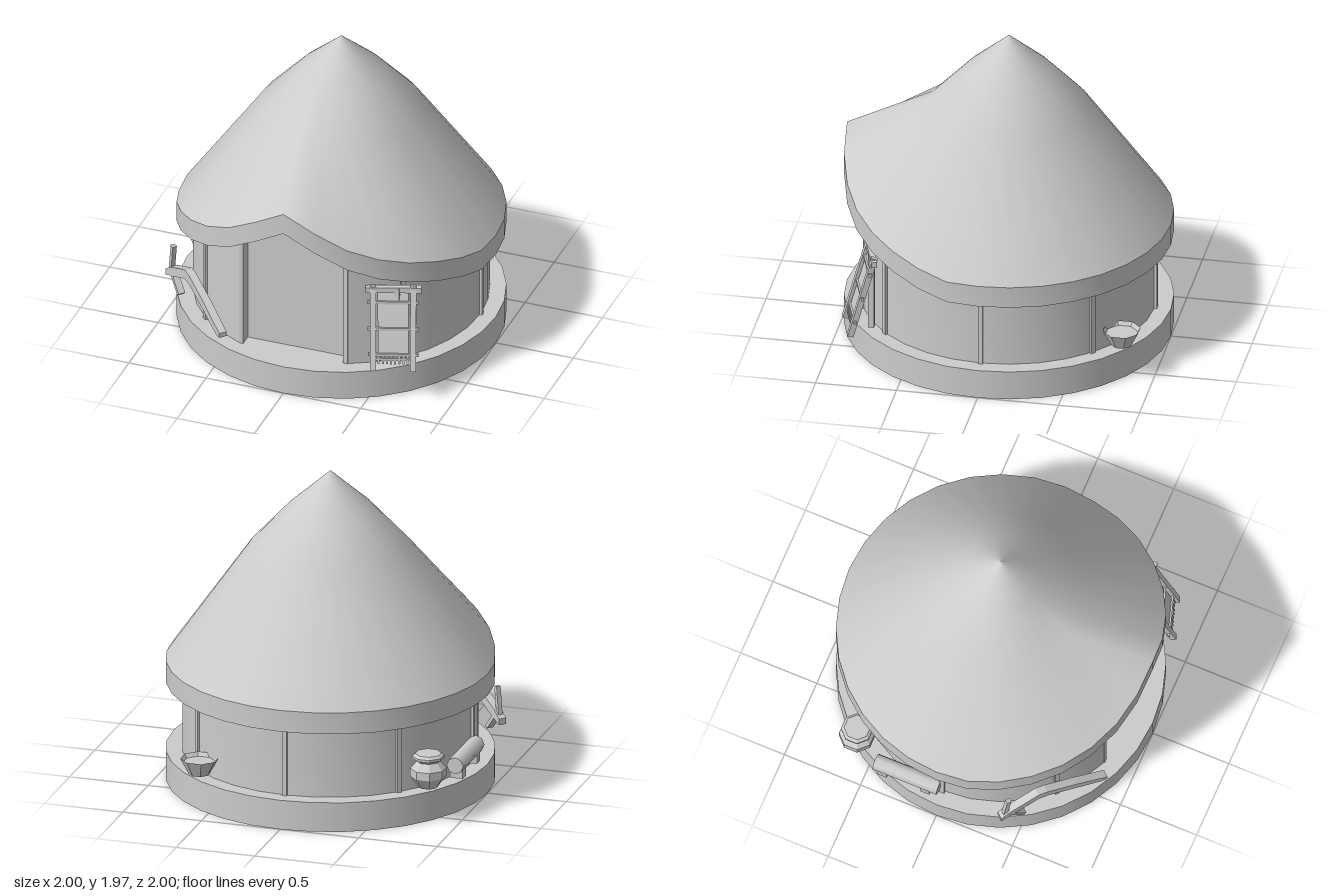
import * as THREE from 'three';

const clay = new THREE.MeshStandardMaterial({ color: 0xcccccc, side: THREE.DoubleSide });
clay.name = 'pale grey';
const N = 32, FLOOR = 0.187;
// eave height and wall height, stepping from the front peak round to the side
const EAVE = [1.27, 1.16, 1.05, 0.97, 0.91, 0.86, 0.81, 0.766];
const WALL = [1.06, 1.06, 0.96, 0.88, 0.78, 0.7, 0.645, 0.62];
const atStep = (list, k) => list[Math.min(k, N - k, 7)];

function add(parent, name, geometry) {
  const m = new THREE.Mesh(geometry, clay);
  m.name = name;
  parent.add(m);
  return m;
}

// surface through rings of equal point count
function loft(rings, closed) {
  const n = rings[0].length, index = [];
  for (let i = 0; i < rings.length - 1; i++) {
    for (let j = 0; j < (closed ? n : n - 1); j++) {
      const k = (j + 1) % n;
      const a = i * n + j, b = a + n, c = (i + 1) * n + k, d = i * n + k;
      index.push(a, b, c, a, c, d);
    }
  }
  const g = new THREE.BufferGeometry().setFromPoints(rings.flat());
  g.setIndex(index);
  g.computeVertexNormals();
  return g;
}

// ring around the y axis, step 0 at the front
function ring(r, height, from = 0, to = N - 1) {
  const pts = [];
  for (let k = from; k <= to; k++) {
    const a = (k / N) * Math.PI * 2;
    pts.push(new THREE.Vector3(r * Math.sin(a), height(k), r * Math.cos(a)));
  }
  return pts;
}

// rectangular bar between two points, in the parent's own frame
function bar(parent, name, p, q, w, d = w) {
  const a = new THREE.Vector3(...p), b = new THREE.Vector3(...q);
  const m = add(parent, name, new THREE.BoxGeometry(w, d, a.distanceTo(b)));
  m.position.copy(a).lerp(b, 0.5);
  m.quaternion.setFromRotationMatrix(new THREE.Matrix4().lookAt(b, a, m.up));
}

// faceted vessel from a profile
function vessel(parent, name, profile, x, y, z) {
  const g = new THREE.LatheGeometry(profile.map(p => new THREE.Vector2(...p)), 8, Math.PI / 8).toNonIndexed();
  g.computeVertexNormals();
  add(parent, name, g).position.set(x, y, z);
}

function extrude(points, depth) {
  const s = new THREE.Shape(points.map(p => new THREE.Vector2(...p)));
  return new THREE.ExtrudeGeometry(s, { depth, bevelEnabled: false });
}

export function createModel() {
  const hut = new THREE.Group();
  hut.name = 'roundHut';

  // plinth, hollow underneath
  add(hut, 'plinthSide', new THREE.CylinderGeometry(1, 1, FLOOR, N, 1, true)).position.y = FLOOR / 2;
  const floor = add(hut, 'plinthTop', new THREE.CircleGeometry(1, N));
  floor.rotation.x = -Math.PI / 2;
  floor.position.y = FLOOR;

  // curved wall and recessed flat front panel
  add(hut, 'wall', loft([
    ring(0.9, k => atStep(WALL, k), 2, 30), ring(0.9, () => FLOOR, 2, 30)], false));
  add(hut, 'frontPanel', extrude([[-0.34, FLOOR], [0.34, FLOOR], [0.34, 0.96],
    [0.2, 1.06], [-0.2, 1.06], [-0.34, 0.96]], 0.01)).position.z = 0.74;

  // square posts beside the panel
  for (const s of [-1, 1]) {
    add(hut, 'doorPost', new THREE.BoxGeometry(0.028, 0.775, 0.09)).position.set(s * 0.338, 0.575, 0.787);
  }

  // wall posts
  for (const k of [4, 8, 12, 16, 20, 24, 28]) {
    const a = (k / N) * Math.PI * 2, h = atStep(WALL, k) - FLOOR;
    const p = add(hut, 'wallPost', new THREE.BoxGeometry(0.03, h, 0.03));
    p.position.set(0.9 * Math.sin(a), FLOOR + h / 2, 0.9 * Math.cos(a));
    p.rotation.y = a;
  }

  // thatched roof shell with a hanging rim
  const roof = new THREE.Group();
  roof.name = 'roof';
  hut.add(roof);
  const eave = k => atStep(EAVE, k);
  add(roof, 'roofTop', loft([ring(0, () => 1.97), ring(0.25, () => 1.75),
    ring(0.495, () => 1.485), ring(1, eave)], true));
  add(roof, 'roofRim', loft([ring(1, eave), ring(1, k => eave(k) - 0.137)], true));

  // loom leaning by the front wall
  const loom = new THREE.Group();
  loom.name = 'loom';
  hut.add(loom);
  const lowL = [0.545, 0.225, 0.905], topL = [0.49, 0.74, 0.765];
  const lowR = [0.775, 0.225, 0.83], topR = [0.725, 0.745, 0.69];
  // point on the frame: u across from rail to rail, v up the rails
  const on = (u, v) => [0, 1, 2].map(i => {
    const l = lowL[i] + (topL[i] - lowL[i]) * v, r = lowR[i] + (topR[i] - lowR[i]) * v;
    return l + (r - l) * u;
  });
  bar(loom, 'loomRail', lowL, topL, 0.036);
  bar(loom, 'loomRail', lowR, topR, 0.036);
  bar(loom, 'loomTopBeam', on(-0.18, 0.955), on(1.2, 0.955), 0.036);
  for (const v of [0.8, 0.49, 0.19]) bar(loom, 'loomRung', on(-0.13, v), on(1.13, v), 0.018);
  const c = [[0.12, 0.94], [0.12, 0.2], [0.88, 0.2], [0.88, 0.94]]
    .map(p => new THREE.Vector3(...on(...p)));
  add(loom, 'loomCloth', loft([[c[0], c[3]], [c[1], c[2]]], false));
  bar(loom, 'loomLowerBeam', on(0, 0.14), on(1, 0.14), 0.016);
  for (let i = 0; i < 8; i++) {
    const u = 0.14 + i * 0.103;
    bar(loom, 'loomFringe', on(u, 0.08), on(u, 0.17), 0.012);
  }
  bar(loom, 'loomProp', [0.635, 0.225, 0.725], [0.635, 0.73, 0.725], 0.035);

  // bent wooden plough against the other side
  const plough = new THREE.Group();
  plough.name = 'plough';
  plough.position.set(-0.965, 0, 0.4);
  plough.rotation.y = -0.735;
  hut.add(plough);
  add(plough, 'ploughBeam', extrude([
    [0, 0.3], [0.1, 0.34], [0.25, 0.405], [0.32, 0.395], [0.67, 0.235], [0.71, 0.235],
    [0.71, 0.265], [0.5, 0.375], [0.31, 0.46], [0.25, 0.47], [0.06, 0.385], [0, 0.34]], 0.05))
    .position.z = -0.025;
  bar(plough, 'ploughHandle', [0.035, 0.35, 0], [0.06, 0.53, 0], 0.028);
  bar(plough, 'ploughShare', [0.05, 0.36, 0], [0.16, 0.24, 0], 0.045, 0.025);

  // water jar and bowl behind the hut
  vessel(hut, 'jar', [[0, 0], [0.06, 0], [0.11, 0.07], [0.11, 0.12], [0.07, 0.165],
    [0.098, 0.185], [0.098, 0.2], [0.08, 0.215], [0, 0.215]], -0.815, 0.23, -0.6);
  vessel(hut, 'bowl', [[0, 0], [0.065, 0], [0.117, 0.1], [0.1, 0.075], [0, 0.075]],
    0.575, 0.23, -0.807);

  // log bench on two feet
  const log = add(hut, 'benchLog', new THREE.CylinderGeometry(0.053, 0.053, 0.42, 8));
  log.rotation.x = Math.PI / 2;
  log.position.set(-0.93, 0.315, -0.22);
  for (const z of [-0.37, -0.09]) {
    add(hut, 'benchFoot', new THREE.BoxGeometry(0.08, 0.08, 0.06)).position.set(-0.93, 0.265, z);
  }
  return hut;
}
